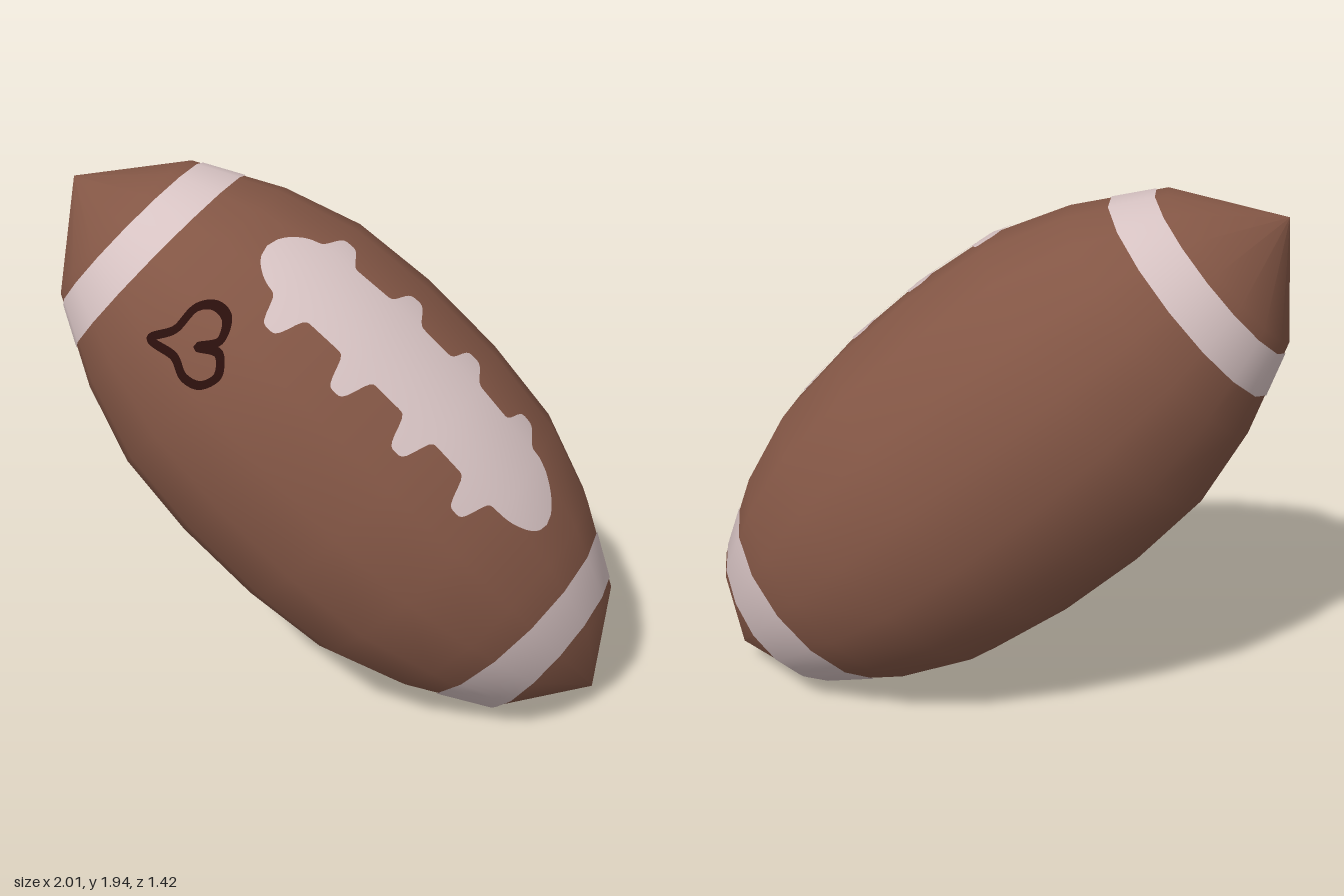
import * as THREE from 'three';

const SIDES = 16;
// Half profile along the long axis: [distance, radius, normal slope]
const HALF = [[0.17, 0.642, 0.054], [0.495, 0.606, 0.23], [0.78, 0.506, 0.45], [1.087, 0.337, 0.88], [1.346, 0, 1.6]];
const PROFILE = [...HALF.map(([s, r, k]) => [-s, r, -k]).reverse(), ...HALF];

// Radius and normal slope at distance s along the axis
function profileAt(s) {
  let i = 0;
  while (i < PROFILE.length - 2 && s > PROFILE[i + 1][0]) i++;
  const a = PROFILE[i], b = PROFILE[i + 1];
  const t = THREE.MathUtils.clamp((s - a[0]) / (b[0] - a[0]), 0, 1);
  return [a[1] + (b[1] - a[1]) * t, a[2] + (b[2] - a[2]) * t];
}

// Grid laid on the faceted ball; place(u, v) returns [distance, angle]
function patch(name, material, nu, nv, lift, place) {
  const pos = [], nor = [], index = [];
  const step = (2 * Math.PI) / SIDES;
  for (let j = 0; j <= nv; j++) {
    for (let i = 0; i <= nu; i++) {
      const [s, a] = place(i / nu, j / nv);
      const [r, k] = profileAt(s);
      const local = a - Math.floor(a / step + 1e-6) * step - step / 2;
      const rho = r * Math.cos(step / 2) / Math.cos(local);
      const n = new THREE.Vector3(Math.cos(a), Math.sin(a), -k).normalize();
      pos.push(rho * Math.cos(a) + n.x * lift, rho * Math.sin(a) + n.y * lift, -s + n.z * lift);
      nor.push(n.x, n.y, n.z);
      if (i < nu && j < nv) {
        const p = j * (nu + 1) + i, q = p + nu + 1;
        index.push(p, q, p + 1, p + 1, q, q + 1);
      }
    }
  }
  const geo = new THREE.BufferGeometry();
  geo.setAttribute('position', new THREE.Float32BufferAttribute(pos, 3));
  geo.setAttribute('normal', new THREE.Float32BufferAttribute(nor, 3));
  geo.setIndex(index);
  const mesh = new THREE.Mesh(geo, material);
  mesh.name = name;
  return mesh;
}

export function createModel() {
  const mat = (name, color) => {
    const m = new THREE.MeshStandardMaterial({ color });
    m.name = name;
    return m;
  };
  const leather = mat('brown leather', 0x835645);
  const white = mat('off white paint', 0xd6c2c2);
  const ink = mat('dark ink', 0x2a0f0c);

  // Tilted ball frame: U and V span the cross-section, D points to the upper tip
  const D = new THREE.Vector3(-0.95, 0.895, 0.33).normalize();
  const U = new THREE.Vector3(-D.y, D.x, 0).normalize().negate();
  const V = new THREE.Vector3().crossVectors(U, D);
  const W = D.clone().negate();
  const group = new THREE.Group();
  group.name = 'ball';
  const ball = new THREE.Group();
  ball.name = 'tiltedBall';
  // Keep the frame right handed with U on the laced side
  if (U.y < 0) U.negate();
  V.crossVectors(W, U);
  ball.quaternion.setFromRotationMatrix(new THREE.Matrix4().makeBasis(U, V, W));
  ball.position.y = 0.975;
  group.add(ball);

  // Body
  const last = PROFILE.length - 1;
  ball.add(patch('body', leather, SIDES, last, 0,
    (u, v) => [PROFILE[Math.round(v * last)][0], u * 2 * Math.PI]));

  // Painted end bands
  ball.add(patch('upperBand', white, 64, 12, 0.004,
    (u, v) => [0.91 + 0.14 * v, u * 2 * Math.PI]));
  ball.add(patch('lowerBand', white, 64, 18, 0.004, (u, v) => {
    const a = u * 2 * Math.PI;
    const inner = -1.085 + 0.035 * Math.cos(a);
    return [inner + (-0.89 - inner) * v, a];
  }));

  // Laces: a central strip with four crossbars
  const bars = [0.475, 0.18, -0.1, -0.385];
  const laceWidth = (s) => {
    const e = s > 0 ? (s - 0.53) / 0.14 : (-s - 0.46) / 0.21;
    const strip = 0.235 * Math.sqrt(Math.max(0, 1 - Math.max(0, e) ** 2));
    return strip + bars.reduce((w, c) => w + 0.175 * Math.exp(-(((s - c) / 0.052) ** 4)), 0);
  };
  ball.add(patch('laces', white, 32, 140, 0.005, (u, v) => {
    const s = -0.67 + 1.34 * v;
    return [s, 0.215 + (2 * u - 1) * laceWidth(s)];
  }));

  // Drawn heart: a ribbon along a closed curve, projected onto the front
  const E = new THREE.Vector2(D.x, D.y).normalize();
  const flat = Math.hypot(D.x, D.y);
  const project = (x, y) => {
    const c = x * U.x + y * U.y, q = x * E.x + y * E.y;
    let s = q, a = 0;
    for (let i = 0; i < 20; i++) {
      const r = profileAt(s)[0];
      a = Math.acos(THREE.MathUtils.clamp(c / r, -1, 1));
      s = (q + D.z * r * Math.sin(a)) / flat;
    }
    return [s, a];
  };
  const heart = new THREE.CatmullRomCurve3([
    [-0.29, 1.525], [-0.21, 1.565], [-0.165, 1.635], [-0.115, 1.645], [-0.06, 1.61], [-0.055, 1.55], [-0.12, 1.525],
    [-0.045, 1.515], [-0.027, 1.45], [-0.075, 1.415], [-0.14, 1.43], [-0.19, 1.485],
  ].map(([x, y]) => new THREE.Vector3(x, y - 0.975, 0)), true);
  ball.add(patch('heart', ink, 120, 2, 0.006, (u, v) => {
    const p = heart.getPoint(u % 1), t = heart.getTangent(u % 1);
    const w = (v - 0.5) * 0.027;
    return project(p.x + t.y * w, p.y - t.x * w);
  }));
  return group;
}
